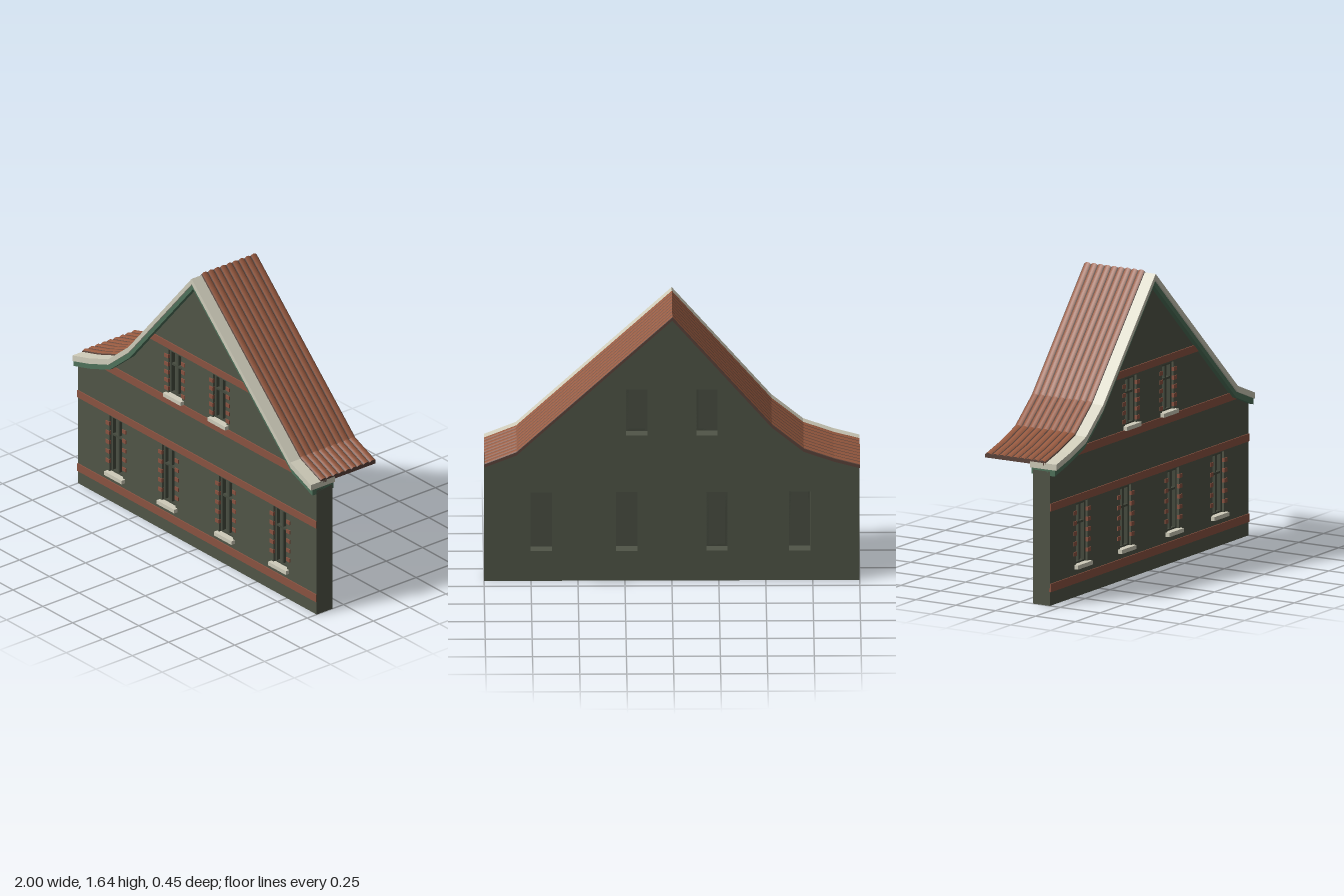
import * as THREE from 'three';

const mat = (name, color) => {
  const m = new THREE.MeshStandardMaterial({ color });
  m.name = name;
  return m;
};

// Roof line from the left edge over the ridge to the right edge
const ROOF = [[-1, 0.782], [-0.86, 0.82], [-0.7, 0.877], [-0.53, 1.016], [0, 1.632], [0.829, 0.861], [1, 0.792]];

// Roof line lowered by d
const lowered = (d) => ROOF.map(([x, y]) => new THREE.Vector2(x, y - d));

function extrude(points, z0, z1, holes = []) {
  const shape = new THREE.Shape(points);
  shape.holes.push(...holes);
  const geo = new THREE.ExtrudeGeometry(shape, { depth: z1 - z0, bevelEnabled: false });
  return geo.translate(0, 0, z0);
}

// Strip that follows the roof line between two depths
const strip = (d0, d1, z0, z1) => extrude([...lowered(d1), ...lowered(d0).reverse()], z0, z1);

// x where the lowered roof line crosses height y, on one side (-1 or 1)
function edgeX(y, side, d) {
  const line = lowered(d);
  for (let i = 1; i < line.length; i++) {
    const a = line[i - 1], b = line[i];
    if (Math.sign(a.x + b.x) !== side || (a.y - y) * (b.y - y) > 0) continue;
    return a.x + (b.x - a.x) * (y - a.y) / (b.y - a.y);
  }
  return side;
}

// Fluted roof sheet: a cross-section in z swept along the roof line.
// Group 0 is the tile crowns, group 1 the grooves, underside and edges.
function roofGeometry(z0, z1, flutes) {
  const per = 10, n = flutes * per, section = [];
  const zAt = (j) => z0 + (z1 - z0) * j / n;
  for (let j = 0; j <= n; j++) section.push([zAt(j), 0.002 - 0.008 * Math.abs(Math.sin(Math.PI * j / per))]);
  for (let j = n; j >= 0; j--) section.push([zAt(j), 0.02]);
  const count = section.length, pos = [], crowns = [], rest = [];
  const last = (ROOF.length - 1) * count;
  for (const [x, y] of ROOF)
    for (const [z, d] of section) pos.push(x, y - d, z);
  for (let i = 0; i < ROOF.length - 1; i++)
    for (let k = 0; k < count; k++) {
      const a = i * count + k, b = i * count + (k + 1) % count;
      const isCrown = k < n && k % per !== 0 && k % per !== per - 1;
      (isCrown ? crowns : rest).push(a, b, a + count, b, b + count, a + count);
    }
  for (let j = 0; j < n; j++) {
    const a = j, b = j + 1, c = count - 1 - j, d = c - 1;
    rest.push(a, c, b, b, c, d);
    rest.push(last + a, last + b, last + c, last + b, last + d, last + c);
  }
  const geo = new THREE.BufferGeometry();
  geo.setAttribute('position', new THREE.Float32BufferAttribute(pos, 3));
  geo.setIndex([...crowns, ...rest]);
  const flat = geo.toNonIndexed();
  flat.computeVertexNormals();
  flat.addGroup(0, crowns.length, 0);
  flat.addGroup(crowns.length, rest.length, 1);
  return flat;
}

export function createModel() {
  const model = new THREE.Group();
  model.name = 'gabledFacade';
  const wallMat = mat('wall grey green', 0x505547);
  const brickMat = mat('brick red', 0x8a5341);
  const roofMat = mat('roof tile', 0x96593f);
  const roofDarkMat = mat('roof dark brown', 0x5c443b);
  const stoneMat = mat('pale stone', 0xcfccba);
  const trimMat = mat('green trim', 0x4f725b);
  const frameMat = mat('window frame', 0x454a3e);
  const paneMat = mat('window pane', 0x4a4f43);

  const add = (name, geo, material, parent = model) => {
    const mesh = new THREE.Mesh(geo, material);
    mesh.name = name;
    parent.add(mesh);
    return mesh;
  };
  const box = (name, x0, x1, y0, y1, z0, z1, material, parent) => {
    const mesh = add(name, new THREE.BoxGeometry(x1 - x0, y1 - y0, z1 - z0), material, parent);
    mesh.position.set((x0 + x1) / 2, (y0 + y1) / 2, (z0 + z1) / 2);
  };

  const BACK = 0.077, FRONT = 0.185, HALF = 0.057;
  const lower = { y0: 0.171, y1: 0.508, transom: 0.395, bricks: [0.235, 0.291, 0.347, 0.403, 0.459] };
  const upper = { y0: 0.833, y1: 1.096, transom: 1.01, bricks: [0.862, 0.91, 0.958, 1.006, 1.054] };
  const windows = [
    ...[-0.68, -0.24, 0.24, 0.695].map((x) => ({ x, ...lower })),
    ...[-0.187, 0.187].map((x) => ({ x, ...upper })),
  ];

  // Wall with window openings
  const holes = windows.map(({ x, y0, y1 }) => new THREE.Path([
    [x - HALF, y0], [x - HALF, y1], [x + HALF, y1], [x + HALF, y0],
  ].map((p) => new THREE.Vector2(...p))));
  const outline = [new THREE.Vector2(-1, 0), new THREE.Vector2(1, 0), ...lowered(0.05).reverse()];
  add('wall', extrude(outline, BACK, FRONT, holes), wallMat);

  // Gable trim, coping and roof
  add('gableTrim', strip(0.04, 0.073, 0.068, 0.215), trimMat);
  add('coping', strip(0.007, 0.04, 0.06, 0.225), stoneMat);
  add('roof', roofGeometry(-0.222, 0.157, 9), [roofMat, roofDarkMat]);

  // Brick bands, cut to the gable
  for (const [y0, y1] of [[0.075, 0.12], [0.515, 0.557], [0.77, 0.815], [1.105, 1.145]]) {
    const corners = [[edgeX(y0, -1, 0.06), y0], [edgeX(y0, 1, 0.06), y0], [edgeX(y1, 1, 0.06), y1], [edgeX(y1, -1, 0.06), y1]];
    add('brickBand', extrude(corners.map((p) => new THREE.Vector2(...p)), FRONT - 0.005, FRONT + 0.006), brickMat);
  }

  // Windows with frame, bars, sill and brick surround
  for (const { x, y0, y1, transom, bricks } of windows) {
    const win = new THREE.Group();
    win.name = 'window';
    model.add(win);
    const t = 0.013;
    box('pane', x - HALF, x + HALF, y0, y1, 0.143, 0.15, paneMat, win);
    for (const s of [-1, 1]) {
      const e = x + s * (HALF - t / 2);
      box('frameSide', e - t / 2, e + t / 2, y0, y1, 0.143, 0.172, frameMat, win);
      for (const y of bricks) {
        const c = x + s * (HALF + 0.013);
        box('surroundBrick', c - 0.015, c + 0.015, y - 0.011, y + 0.011, FRONT - 0.01, FRONT + 0.005, brickMat, win);
      }
    }
    for (const y of [y0, y1 - t]) box('frameRail', x - HALF + t, x + HALF - t, y, y + t, 0.143, 0.172, frameMat, win);
    box('mullion', x - 0.007, x + 0.007, y0 + t, y1 - t, 0.145, 0.168, frameMat, win);
    box('transom', x - HALF + t, x + HALF - t, transom - 0.006, transom + 0.006, 0.145, 0.17, frameMat, win);
    box('sill', x - 0.074, x + 0.074, y0 - 0.018, y0 + 0.004, FRONT - 0.015, 0.208, stoneMat, win);
  }
  return model;
}
